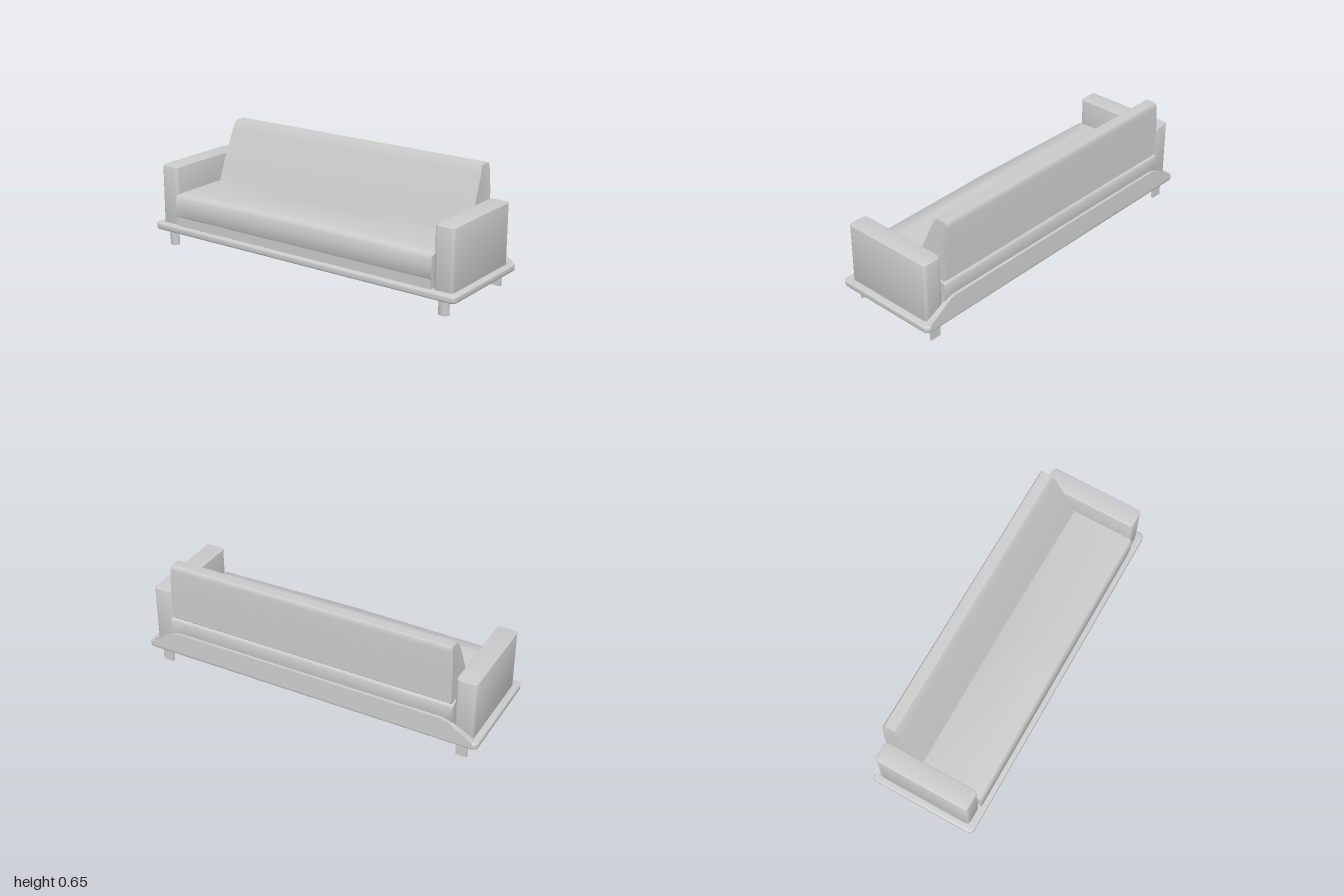
import * as THREE from 'three';
import { toCreasedNormals } from 'three/addons/utils/BufferGeometryUtils.js';

const material = new THREE.MeshStandardMaterial({ color: 0xcccccc });

// Moves every vertex by a rule
function deform(geometry, rule) {
  const p = geometry.attributes.position;
  const v = new THREE.Vector3();
  for (let i = 0; i < p.count; i++) {
    v.fromBufferAttribute(p, i);
    rule(v);
    p.setXYZ(i, v.x, v.y, v.z);
  }
  return geometry;
}

function part(name, geometry, crease = 0.7) {
  const mesh = new THREE.Mesh(toCreasedNormals(geometry, crease), material);
  mesh.name = name;
  return mesh;
}

// Side profile of [z, y] points, swept across x and centred
function sweep(points, width, steps = 1) {
  const shape = new THREE.Shape(points.map(([z, y]) => new THREE.Vector2(z, y)));
  const g = new THREE.ExtrudeGeometry(shape, { depth: width, steps, bevelEnabled: false });
  return g.rotateY(-Math.PI / 2).translate(width / 2, 0, 0);
}

// Upright slab with a rounded plan and softened top and bottom edges
function slab(width, depth, y0, y1, radius, bevel) {
  const w = width / 2 - bevel, d = depth / 2 - bevel, r = radius;
  const s = new THREE.Shape();
  s.absarc(w - r, d - r, r, 0, Math.PI / 2);
  s.absarc(-w + r, d - r, r, Math.PI / 2, Math.PI);
  s.absarc(-w + r, -d + r, r, Math.PI, Math.PI * 1.5);
  s.absarc(w - r, -d + r, r, Math.PI * 1.5, Math.PI * 2);
  const g = new THREE.ExtrudeGeometry(s, {
    depth: y1 - y0 - 2 * bevel, bevelThickness: bevel, bevelSize: bevel,
    bevelSegments: 3, curveSegments: 6,
  });
  return g.rotateX(-Math.PI / 2).translate(0, y0 + bevel, 0);
}

export function createModel() {
  const sofa = new THREE.Group();
  sofa.name = 'sofa';

  // Platform with a shallow bowed underside
  sofa.add(part('platform', slab(2, 0.625, 0.09, 0.129, 0.02, 0.01)));
  const underside = sweep([
    [0.285, 0.092], [-0.285, 0.092], [-0.21, 0.081], [0, 0.077], [0.235, 0.081],
  ].reverse(), 1.92);
  deform(underside, (v) => {
    if (v.y < 0.09) v.x *= 0.97;
  });
  sofa.add(part('underside', underside, 0.3));

  // Leaning rear panel with sloping ends
  const outline = new THREE.Shape([
    new THREE.Vector2(-0.98, 0.11), new THREE.Vector2(0.98, 0.11),
    new THREE.Vector2(0.97, 0.135), new THREE.Vector2(0.83, 0.216),
    new THREE.Vector2(0.79, 0.224), new THREE.Vector2(-0.79, 0.224),
    new THREE.Vector2(-0.83, 0.216), new THREE.Vector2(-0.97, 0.135),
  ]);
  const panel = new THREE.ExtrudeGeometry(outline, { depth: 1, bevelEnabled: false });
  deform(panel, (v) => {
    const t = (v.y - 0.11) / 0.114;
    v.z = v.z > 0.5 ? -0.274 - 0.011 * t : -0.314 + 0.006 * t;
  });
  sofa.add(part('rearPanel', panel));

  // Seat frame and crowned seat cushion
  sofa.add(part('seatFrame', new THREE.BoxGeometry(1.69, 0.06, 0.562).translate(0, 0.154, 0.004)));
  const seat = sweep([
    [0.282, 0.178], [0.29, 0.19], [0.291, 0.245], [0.289, 0.295], [0.277, 0.308],
    [0.2, 0.311], [-0.27, 0.311], [-0.286, 0.306], [-0.291, 0.295], [-0.291, 0.19], [-0.283, 0.178],
  ].reverse(), 1.7, 20);
  deform(seat, (v) => {
    if (v.y > 0.307) v.y += 0.011 * Math.max(0, 1 - Math.abs(v.x) / 0.85);
  });
  sofa.add(part('seatCushion', seat, 1.1));

  // Wedge-shaped backrest, narrowing slightly at its rounded top
  const back = sweep([
    [-0.075, 0.308], [-0.135, 0.463], [-0.198, 0.61], [-0.207, 0.63], [-0.22, 0.65],
    [-0.24, 0.653], [-0.28, 0.653], [-0.286, 0.647], [-0.289, 0.62], [-0.289, 0.5],
    [-0.29, 0.322], [-0.283, 0.315], [-0.26, 0.308],
  ], 2);
  deform(back, (v) => {
    const t = Math.max(0, (v.y - 0.31) / 0.343);
    v.x = Math.sign(v.x) * (0.839 - 0.014 * t ** 6);
  });
  sofa.add(part('backrest', back, 0.75));

  for (const side of [-1, 1]) {
    const label = side > 0 ? 'left' : 'right';

    // Armrest
    const arm = part(label + 'Armrest', slab(0.114, 0.548, 0.126, 0.466, 0.018, 0.003));
    arm.position.x = side * 0.908;
    sofa.add(arm);

    // Curved front leg and flat rear leg
    const front = new THREE.CylinderGeometry(0.031, 0.031, 0.095, 16, 1, false, -Math.PI / 2, Math.PI);
    front.scale(1, 1, 0.85).translate(side * 0.904, 0.0475, 0.247);
    const frontLeg = part(label + 'FrontLeg', front);
    const web = part(label + 'FrontLegBack', new THREE.BoxGeometry(0.062, 0.095, 0.004)
      .translate(side * 0.904, 0.0475, 0.248));
    const rearLeg = part(label + 'RearLeg', new THREE.BoxGeometry(0.062, 0.095, 0.014)
      .translate(side * 0.904, 0.0475, -0.266));
    sofa.add(frontLeg, web, rearLeg);
  }
  return sofa;
}
